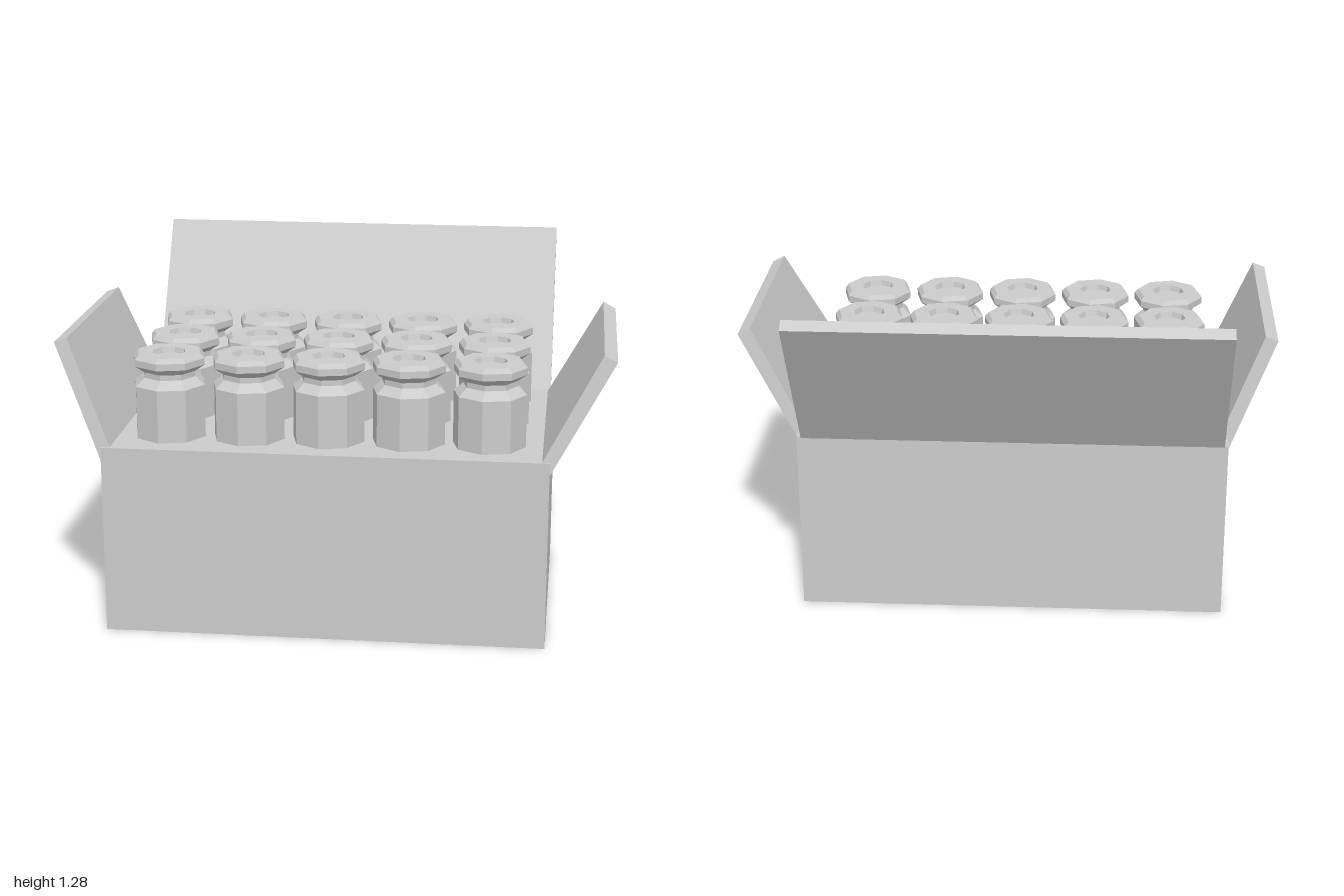
import * as THREE from 'three';
import { ConvexGeometry } from 'three/addons/geometries/ConvexGeometry.js';

const material = new THREE.MeshStandardMaterial({ color: 0xcccccc, flatShading: true });

function addMesh(parent, name, geometry) {
  const mesh = new THREE.Mesh(geometry, material);
  mesh.name = name;
  parent.add(mesh);
  return mesh;
}

// Side flap: a tilted slab tapering in z from hinge to free edge.
// Section corners [x, y]: hinge outer, hinge inner, tip outer, tip inner.
function sideFlap(hinge, tip) {
  const points = [];
  for (const [x, y] of hinge) for (const z of [-0.265, 0.67]) points.push(new THREE.Vector3(x, y, z));
  for (const [x, y] of tip) for (const z of [-0.205, 0.612]) points.push(new THREE.Vector3(x, y, z));
  return new ConvexGeometry(points);
}

// Back flap: a straight slab, section corners given as [z, y].
function backFlap(section) {
  const points = [];
  for (const [z, y] of section) for (const x of [-0.815, 0.76]) points.push(new THREE.Vector3(x, y, z));
  return new ConvexGeometry(points);
}

export function createModel() {
  const model = new THREE.Group();
  model.name = 'crateOfJars';

  // Carton body
  const body = addMesh(model, 'cartonBody', new THREE.BoxGeometry(1.605, 0.7, 1.005));
  body.position.set(-0.0265, 0.35, 0.1725);

  // Open flaps
  addMesh(model, 'rightFlap', sideFlap([[-0.832, 0.655], [-0.787, 0.675]], [[-1, 1.07], [-0.953, 1.087]]));
  addMesh(model, 'leftFlap', sideFlap([[0.778, 0.655], [0.738, 0.68]], [[1, 1.055], [0.953, 1.08]]));
  addMesh(model, 'backFlap', backFlap([[-0.277, 0.697], [-0.332, 0.695], [-0.675, 1.257], [-0.634, 1.282]]));

  // Eight-sided jar: body, shoulder, neck, lid and dished top
  const profile = [
    [0, 0.6], [0.134, 0.6], [0.134, 0.895], [0.1, 0.925], [0.1, 0.945], [0.135, 0.97],
    [0.135, 0.995], [0.12, 1.012], [0.062, 1.012], [0.056, 0.992], [0, 0.992],
  ].map(([r, y]) => new THREE.Vector2(r, y));
  const jarGeometry = new THREE.LatheGeometry(profile, 8, THREE.MathUtils.degToRad(36));

  // Three rows of five jars
  const jars = new THREE.Group();
  jars.name = 'jars';
  model.add(jars);
  for (let row = 0; row < 3; row++) {
    for (let col = 0; col < 5; col++) {
      const jar = addMesh(jars, 'jar', jarGeometry);
      jar.position.set(-0.612 + col * 0.2915, 0, -0.125 + row * 0.297);
    }
  }
  return model;
}
